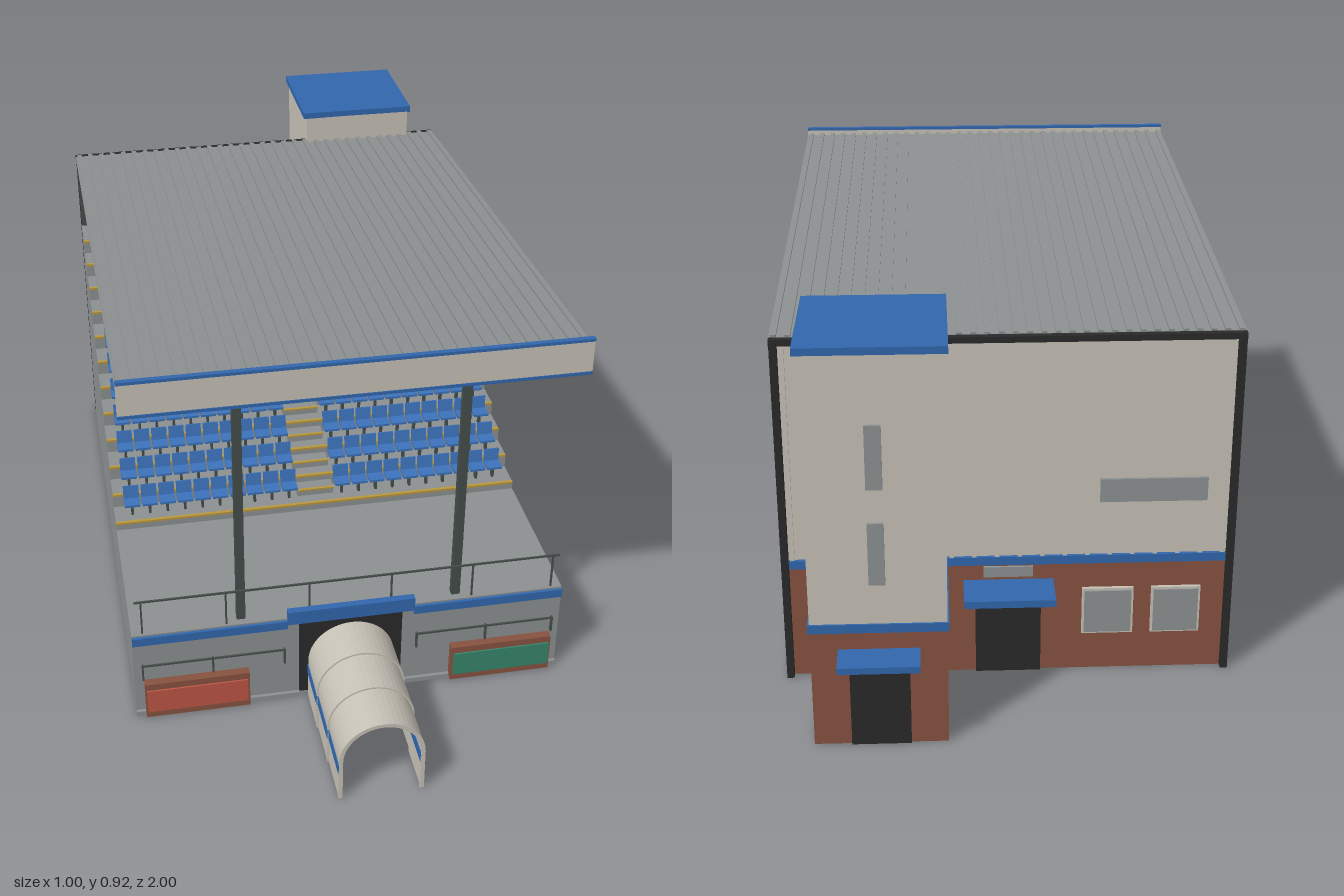
import * as THREE from 'three';
import { mergeGeometries } from 'three/addons/utils/BufferGeometryUtils.js';

const flat = (name, color, extra = {}) => {
  const m = new THREE.MeshStandardMaterial({ color, ...extra });
  m.name = name;
  return m;
};

export function createModel() {
  const M = {
    concrete: flat('concrete grey', 0x8c9090),
    cream: flat('cream cladding', 0xc6c1b6, { side: THREE.DoubleSide }),
    blue: flat('trim blue', 0x3166ac),
    seat: flat('seat blue', 0x3b72ba),
    brick: flat('brick brown', 0x875240),
    steel: flat('steel green grey', 0x454d49),
    dark: flat('dark opening', 0x29292a),
    yellow: flat('step yellow', 0xb8973c),
    red: flat('panel red', 0xbc5644),
    green: flat('panel green', 0x35866c),
  };
  const model = new THREE.Group();
  model.name = 'grandstand';

  // Each box is given by its extents: [x0, x1, y0, y1, z0, z1]
  const boxGeo = ([x0, x1, y0, y1, z0, z1]) =>
    new THREE.BoxGeometry(x1 - x0, y1 - y0, z1 - z0)
      .translate((x0 + x1) / 2, (y0 + y1) / 2, (z0 + z1) / 2);
  const add = (name, mat, geo, parent = model) => {
    const mesh = new THREE.Mesh(geo, mat);
    mesh.name = name;
    parent.add(mesh);
    return mesh;
  };
  const boxes = (name, mat, list, parent) =>
    add(name, mat, mergeGeometries(list.map(boxGeo)), parent);
  // Straight bar between two (y, z) points at a given x
  const bar = (x, y0, z0, y1, z1, t) =>
    new THREE.BoxGeometry(t, t, Math.hypot(y1 - y0, z1 - z0))
      .rotateX(-Math.atan2(y1 - y0, z1 - z0))
      .translate(x, (y0 + y1) / 2, (z0 + z1) / 2);
  const SIDES = [-1, 1];
  const span = (s, a, b) => (s > 0 ? [a, b] : [-b, -a]);

  // Stepped terrace, extruded across the width
  const ROWS = 11, TREAD = 0.07, RISE = 0.035, Z0 = 0.26, Y0 = 0.25;
  const profile = new THREE.Shape();
  profile.moveTo(-0.66, 0);
  profile.lineTo(-0.66, 0.23);
  profile.lineTo(-Z0, 0.23);
  for (let i = 0; i <= ROWS; i++) {
    profile.lineTo(-Z0 + i * TREAD, Y0 + i * RISE);
    profile.lineTo(i < ROWS ? -Z0 + (i + 1) * TREAD : 0.612, Y0 + i * RISE);
  }
  profile.lineTo(0.612, 0);
  add('terrace', M.concrete,
    new THREE.ExtrudeGeometry(profile, { depth: 1, bevelEnabled: false })
      .rotateY(Math.PI / 2).translate(-0.5, 0, 0));

  // Aisle half steps, yellow nosings and seats
  const halfSteps = [], nosings = [], shells = [], legs = [];
  for (let i = 0; i <= ROWS; i++) {
    const z = Z0 - i * TREAD, y = Y0 + i * RISE;
    nosings.push([-0.5, 0.5, y - 0.004, y + 0.0015, z - 0.006, z + 0.002]);
    if (i > 0) {
      halfSteps.push([-0.045, 0.045, y - RISE, y - RISE / 2, z, z + 0.035]);
      nosings.push([-0.045, 0.045, y - RISE / 2 - 0.003, y - RISE / 2 + 0.001, z + 0.03, z + 0.037]);
    }
    if (i === ROWS) break;
    for (const s of SIDES) for (let k = 0; k < 10; k++) {
      const x = s * (0.0665 + k * 0.0433), w = 0.019;
      shells.push([x - w, x + w, y + 0.032, y + 0.038, z - 0.05, z - 0.016]);
      const back = boxGeo([x - w, x + w, 0, 0.034, -0.002, 0.002]).rotateX(-0.15);
      shells.push(back.translate(0, y + 0.036, z - 0.05));
      legs.push([x - 0.003, x + 0.003, y, y + 0.033, z - 0.042, z - 0.03]);
    }
  }
  boxes('aisleSteps', M.concrete, halfSteps);
  boxes('stepNosings', M.yellow, nosings);
  add('seats', M.seat, mergeGeometries(shells.map(b => (Array.isArray(b) ? boxGeo(b) : b))));
  boxes('seatLegs', M.steel, legs);

  // Safety rails at the front of the deck and behind the top row
  const rail = (name, yBase, z, height) => {
    const list = [[-0.49, 0.49, yBase + height - 0.004, yBase + height, z - 0.002, z + 0.002]];
    for (let k = 0; k < 6; k++) {
      const x = -0.475 + k * 0.19;
      list.push([x - 0.002, x + 0.002, yBase, yBase + height, z - 0.002, z + 0.002]);
    }
    boxes(name, M.steel, list);
  };
  rail('frontRail', 0.23, 0.652, 0.09);
  rail('topRail', 0.635, -0.515, 0.085);

  // Front wall: plinth, blue bands, panels and hand rails
  boxes('tunnelOpening', M.dark, [[-0.12, 0.12, 0.012, 0.22, 0.655, 0.664]]);
  boxes('tunnelHeader', M.blue, [[-0.147, 0.147, 0.22, 0.255, 0.655, 0.672]]);
  boxes('frontPlinth', M.concrete, SIDES.map(s => [...span(s, 0.12, 0.5), 0, 0.012, 0.65, 0.668]));
  boxes('frontBands', M.blue, SIDES.map(s => [...span(s, 0.147, 0.5), 0.205, 0.226, 0.655, 0.667]));
  for (const s of SIDES) {
    boxes('panelFrame', M.brick, [[...span(s, 0.238, 0.478), 0.004, 0.1, 0.66, 0.68]]);
    boxes('panelFace', s > 0 ? M.green : M.red, [[...span(s, 0.243, 0.474), 0.022, 0.083, 0.68, 0.684]]);
    const posts = [0.155, 0.32, 0.48].map(x =>
      [...span(s, x - 0.002, x + 0.002), 0.108, 0.15, 0.664, 0.672]);
    boxes('wallRail', M.steel, [...posts, [...span(s, 0.155, 0.48), 0.146, 0.15, 0.668, 0.672]]);
  }

  // Telescopic tunnel in three arched sections
  const tunnel = new THREE.Group();
  tunnel.name = 'tunnel';
  model.add(tunnel);
  const arch = (r, t, depth, z) => {
    const s = new THREE.Shape(), c = 0.105;
    s.moveTo(r, 0);
    s.lineTo(r, c);
    s.absarc(0, c, r, 0, Math.PI, false);
    s.lineTo(-r, 0);
    s.lineTo(-r + t, 0);
    s.lineTo(-r + t, c);
    s.absarc(0, c, r - t, Math.PI, 0, true);
    s.lineTo(r - t, 0);
    return new THREE.ExtrudeGeometry(s, { depth, bevelEnabled: false, curveSegments: 12 }).translate(0, 0, z);
  };
  for (let i = 0; i < 3; i++) {
    const r = 0.1 - i * 0.003, z = 0.668 + i * 0.11;
    add('tunnelSection', M.cream, arch(r, 0.006, i < 2 ? 0.11 : 0.112, z), tunnel);
    add('tunnelRib', M.cream, arch(r + 0.001, 0.009, 0.006, i < 2 ? z + 0.104 : 0.994), tunnel);
    boxes('tunnelStripe', M.blue, SIDES.map(s =>
      [...span(s, r - 0.008, r + 0.002), 0.07, 0.095, z, z + 0.11]), tunnel);
  }

  // Sloping ribbed roof
  const roof = new THREE.Group();
  roof.name = 'roof';
  roof.position.set(0, 0.857, 0.02);
  roof.rotation.x = -0.0595;
  model.add(roof);
  boxes('roofSheet', M.concrete, [[-0.5, 0.5, -0.004, 0.003, -0.68, 0.68]], roof);
  const ribs = [], purlins = [];
  for (let k = 0; k < 34; k++) {
    const x = -0.49 + k * 0.98 / 33;
    ribs.push([x - 0.006, x + 0.006, 0.003, 0.008, -0.68, 0.68]);
  }
  for (let k = 0; k < 9; k++) {
    const z = -0.64 + k * 0.157;
    purlins.push([-0.495, 0.495, -0.017, -0.004, z - 0.006, z + 0.006]);
  }
  boxes('roofRibs', M.concrete, ribs, roof);
  boxes('purlins', M.steel, purlins, roof);
  boxes('fascia', M.cream, [[-0.5, 0.5, 0.84, 0.914, 0.694, 0.702]]);
  boxes('fasciaTrim', M.blue, [
    [-0.5, 0.5, 0.913, 0.92, 0.692, 0.704], [-0.5, 0.5, 0.833, 0.84, 0.692, 0.704]]);

  // Columns and roof trusses
  const BAYS = 9;
  for (const s of SIDES) {
    const x = s * 0.25;
    const zAt = k => 0.635 - k * 1.26 / BAYS;
    const top = k => 0.882 - k * 0.076 / BAYS, low = k => 0.815 - k * 0.045 / BAYS;
    const parts = [
      bar(x, top(0), zAt(0), top(BAYS), zAt(BAYS), 0.01),
      bar(x, low(0), zAt(0), low(BAYS), zAt(BAYS), 0.01),
    ];
    for (let k = 0; k < BAYS; k++) {
      parts.push(bar(x, top(k), zAt(k), low(k), zAt(k), 0.005));
      parts.push(bar(x, low(k), zAt(k), top(k + 1), zAt(k + 1), 0.005));
    }
    add('roofTruss', M.steel, mergeGeometries(parts));
    boxes('frontColumn', M.steel, [[x - 0.01, x + 0.01, 0.23, 0.885, 0.627, 0.643]]);
    boxes('rearColumn', M.steel, [[x - 0.01, x + 0.01, 0.635, 0.81, -0.612, -0.598]]);
    boxes('downpipe', M.dark, [[...span(s, 0.483, 0.499), 0, 0.815, -0.676, -0.66]]);
    boxes('cornerPost', M.steel, [[...span(s, 0.48, 0.499), 0, 0.8, -0.637, -0.61]]);
  }
  boxes('rearBeam', M.steel, [[-0.495, 0.495, 0.808, 0.818, -0.635, -0.61]]);

  // Rear wall: concrete lining, brick base, ribbed cladding
  boxes('rearLining', M.concrete, [[-0.495, 0.495, 0, 0.805, -0.635, -0.612]]);
  boxes('rearBrick', M.brick, [[-0.498, 0.498, 0, 0.272, -0.66, -0.635]]);
  boxes('rearBand', M.blue, [[-0.499, 0.499, 0.272, 0.292, -0.664, -0.634]]);
  boxes('rearCladding', M.cream, [[-0.497, 0.497, 0.292, 0.81, -0.656, -0.635]]);
  const battens = [];
  for (let k = 0; k < 20; k++) {
    const x = -0.475 + k * 0.05;
    battens.push([x - 0.005, x + 0.005, 0.292, 0.808, -0.662, -0.656]);
  }
  boxes('claddingRibs', M.cream, battens);
  boxes('gutter', M.dark, [[-0.5, 0.5, 0.805, 0.819, -0.674, -0.658]]);
  boxes('rearWindows', M.concrete, [
    [-0.435, -0.2, 0.425, 0.48, -0.667, -0.66],
    [-0.425, -0.325, 0.1, 0.205, -0.672, -0.66],
    [-0.275, -0.17, 0.1, 0.205, -0.672, -0.66],
    [-0.055, 0.055, 0.243, 0.268, -0.666, -0.66]]);
  boxes('windowFrames', M.cream, [
    [-0.43, -0.32, 0.095, 0.21, -0.668, -0.66], [-0.28, -0.165, 0.095, 0.21, -0.668, -0.66]]);
  boxes('rearDoor', M.dark, [[-0.073, 0.073, 0, 0.195, -0.666, -0.658]]);
  boxes('rearCanopy', M.blue, [[-0.1, 0.1, 0.217, 0.234, -0.755, -0.655]]);

  // Stair tower
  const tower = new THREE.Group();
  tower.name = 'stairTower';
  model.add(tower);
  boxes('towerBase', M.brick, [[0.138, 0.422, 0, 0.272, -0.928, -0.645]], tower);
  boxes('towerBand', M.blue, [[0.134, 0.426, 0.272, 0.292, -0.932, -0.641]], tower);
  boxes('towerShaft', M.cream, [[0.138, 0.422, 0.292, 0.89, -0.928, -0.645]], tower);
  boxes('towerCap', M.blue, [[0.13, 0.43, 0.889, 0.905, -0.936, -0.645]], tower);
  boxes('towerWindows', M.concrete, [
    [0.263, 0.297, 0.385, 0.525, -0.934, -0.928], [0.263, 0.297, 0.6, 0.74, -0.934, -0.928]], tower);
  boxes('towerDoor', M.dark, [[0.217, 0.343, 0, 0.195, -0.933, -0.926]], tower);
  boxes('towerCanopy', M.blue, [[0.195, 0.365, 0.217, 0.232, -1, -0.925]], tower);

  return model;
}
